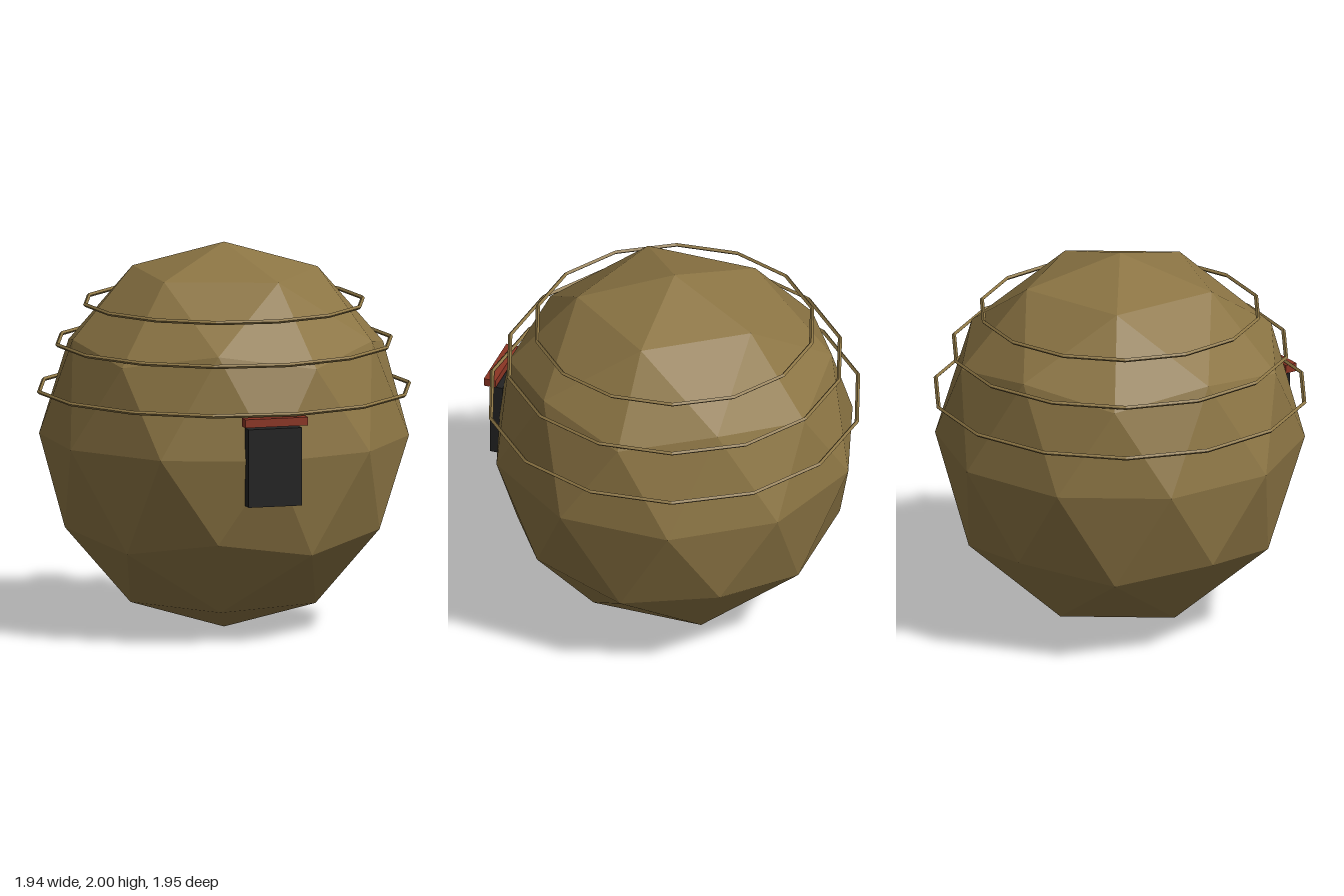
import * as THREE from 'three';

const thatch = new THREE.MeshStandardMaterial({ color: 0x8c7544, flatShading: true });
thatch.name = 'thatch';
const dark = new THREE.MeshStandardMaterial({ color: 0x222222, flatShading: true });
dark.name = 'darkOpening';
const redWood = new THREE.MeshStandardMaterial({ color: 0x8b3524, flatShading: true });
redWood.name = 'redWood';

export function createModel() {
  const group = new THREE.Group();
  const add = (name, geometry, material, x, y, z) => {
    const mesh = new THREE.Mesh(geometry, material);
    mesh.name = name;
    mesh.position.set(x, y, z);
    group.add(mesh);
  };

  // Faceted dome body: a subdivided icosahedron turned so a corner points straight up
  const body = new THREE.IcosahedronGeometry(1, 1);
  body.rotateZ(-Math.atan(2 / (1 + Math.sqrt(5))));
  body.scale(0.95, 1, 0.95);
  body.computeVertexNormals();
  add('body', body, thatch, 0, 1, 0);

  // Thin 14-sided hoops around the upper half
  const sides = 14;
  [[0.722, 1.69], [0.868, 1.485], [0.963, 1.243]].forEach(([radius, y], i) => {
    const hoop = new THREE.TorusGeometry(radius, 0.011, 4, sides);
    hoop.rotateZ(Math.PI / (2 * sides));
    hoop.rotateX(Math.PI / 2);
    add(`hoop${i + 1}`, hoop, thatch, 0, y, 0);
  });

  // Doorway and the lintel above it
  add('door', new THREE.BoxGeometry(0.285, 0.405, 0.068), dark, 0, 0.97, 0.923);
  add('lintel', new THREE.BoxGeometry(0.336, 0.043, 0.064), redWood, 0, 1.208, 0.949);

  return group;
}
